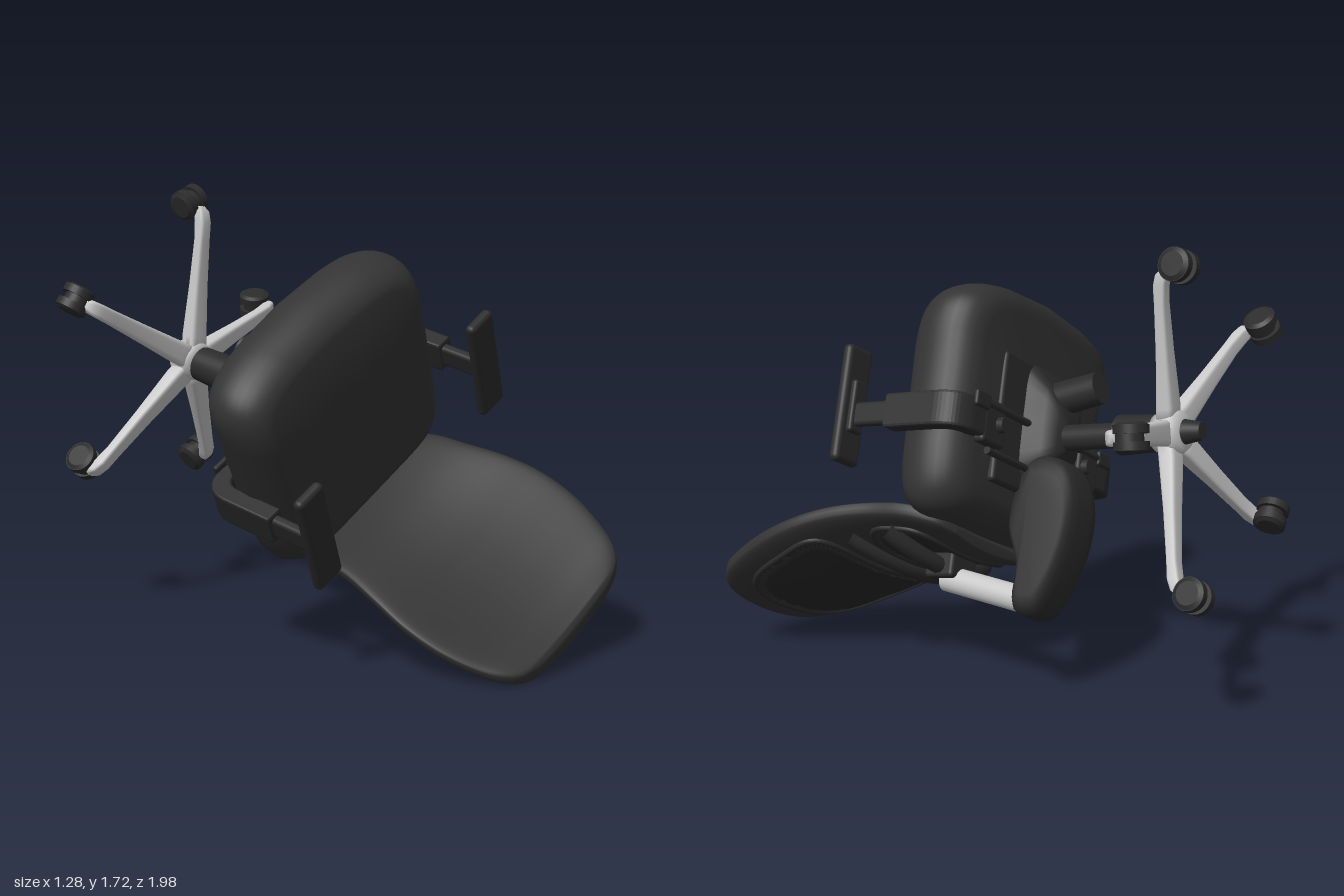
import * as THREE from 'three';
import { RoundedBoxGeometry } from 'three/addons/geometries/RoundedBoxGeometry.js';

const V = (x, y, z) => new THREE.Vector3(x, y, z);
const mat = (name, color, side = THREE.FrontSide) =>
  Object.assign(new THREE.MeshStandardMaterial({ color, side }), { name });

// Signed power, for superellipse outlines
const spow = (v, p) => Math.sign(v) * Math.abs(v) ** p;

// Smooth skin through closed rings of equal length, capped at both ends
function loft(rings) {
  const n = rings[0].length, pos = [], idx = [];
  rings.forEach(r => r.forEach(p => pos.push(p.x, p.y, p.z)));
  for (let i = 0; i < rings.length - 1; i++)
    for (let j = 0; j < n; j++) {
      const a = i * n + j, b = i * n + (j + 1) % n;
      idx.push(a, b, b + n, a, b + n, a + n);
    }
  const last = (rings.length - 1) * n;
  for (let j = 1; j < n - 1; j++) idx.push(0, j + 1, j, last, last + j, last + j + 1);
  // Turn the faces outward when the enclosed volume is negative
  let vol = 0;
  const at = i => V(pos[3 * i], pos[3 * i + 1], pos[3 * i + 2]);
  for (let i = 0; i < idx.length; i += 3) vol += at(idx[i]).dot(at(idx[i + 1]).cross(at(idx[i + 2])));
  if (vol < 0) idx.reverse();
  const g = new THREE.BufferGeometry();
  g.setAttribute('position', new THREE.Float32BufferAttribute(pos, 3));
  g.setIndex(idx);
  g.computeVertexNormals();
  return g;
}

export function createModel() {
  const fabric = mat('fabric', 0x333333);
  const plastic = mat('plastic', 0x2b2b2b);
  const recess = mat('recess', 0x272727, THREE.DoubleSide);
  const silver = mat('silver', 0xc8c8c8);

  // The chair is built upright (y up, z forward, x its left), then tipped over
  const chair = new THREE.Group();
  chair.name = 'chair';
  const add = (name, geo, m, parent = chair) => {
    const mesh = new THREE.Mesh(geo, m);
    mesh.name = name;
    parent.add(mesh);
    return mesh;
  };
  const box = (name, w, h, d, x, y, z, parent = chair, r = 0.015) => {
    const mesh = add(name, new RoundedBoxGeometry(w, h, d, 3, r), plastic, parent);
    mesh.position.set(x, y, z);
  };
  const rod = (name, a, b, ra, rb, m = plastic, parent = chair) => {
    const mesh = add(name, new THREE.CylinderGeometry(rb, ra, a.distanceTo(b), 28), m, parent);
    mesh.position.copy(a).lerp(b, 0.5);
    mesh.quaternion.setFromUnitVectors(V(0, 1, 0), b.clone().sub(a).normalize());
  };

  // Five-arm base with twin-wheel casters, each caster swivelled its own way
  const armSections = [[0.03, 0.05, 0.13, 0.2], [0.1, 0.046, 0.115, 0.185], [0.3, 0.037, 0.095, 0.145],
    [0.48, 0.03, 0.072, 0.115], [0.55, 0.029, 0.055, 0.105], [0.59, 0.027, 0.04, 0.088], [0.607, 0.016, 0.04, 0.065]];
  const armGeo = loft(armSections.map(([r, w, lo, hi]) => Array.from({ length: 24 }, (_, i) => {
    const t = i / 24 * Math.PI * 2;
    return V(w * spow(Math.cos(t), 0.45), (lo + hi) / 2 + (hi - lo) / 2 * spow(Math.sin(t), 0.45), r);
  })));
  for (const [deg, swivel] of [[34, -6], [-34, 24], [109, -178], [-108, 183], [181, 0]]) {
    const spoke = new THREE.Group();
    spoke.name = 'baseSpoke';
    spoke.rotation.y = deg * Math.PI / 180;
    chair.add(spoke);
    add('baseArm', armGeo, silver, spoke);
    const caster = new THREE.Group();
    caster.name = 'caster';
    caster.position.set(0, 0, 0.588);
    caster.rotation.y = swivel * Math.PI / 180;
    spoke.add(caster);
    rod('casterStem', V(0, 0, 0), V(0, 0.06, 0), 0.018, 0.018, plastic, caster);
    rod('casterHood', V(-0.022, 0.006, 0.018), V(0.022, 0.006, 0.018), 0.05, 0.05, plastic, caster);
    for (const s of [-1, 1]) {
      rod('casterWheel', V(s * 0.014, 0, 0.02), V(s * 0.044, 0, 0.02), 0.062, 0.062, plastic, caster);
      rod('wheelCap', V(s * 0.044, 0, 0.02), V(s * 0.053, 0, 0.02), 0.06, 0.044, plastic, caster);
    }
  }
  add('hub', new THREE.LatheGeometry([[0, 0.1], [0.065, 0.1], [0.085, 0.13], [0.08, 0.18], [0.07, 0.215], [0, 0.215]]
    .map(p => new THREE.Vector2(...p)), 32), silver);

  // Gas column
  rod('columnTip', V(0, 0.03, 0), V(0, 0.11, 0), 0.033, 0.048);
  rod('columnSleeve', V(0, 0.2, 0), V(0, 0.37, 0), 0.068, 0.076);
  rod('columnPiston', V(0, 0.36, 0), V(0, 0.66, 0), 0.047, 0.05);

  // Tilt mechanism, tension knob, seat plate and cross bars
  const mech = [[0.6, 0.075, -0.09, 0.1], [0.66, 0.09, -0.13, 0.2], [0.72, 0.13, -0.18, 0.27], [0.79, 0.15, -0.2, 0.3]];
  add('tiltMechanism', loft(mech.map(([u, w, a, b]) => Array.from({ length: 24 }, (_, i) => {
    const t = i / 24 * Math.PI * 2;
    return V(w * spow(Math.cos(t), 0.4), u, (a + b) / 2 + (b - a) / 2 * spow(Math.sin(t), 0.4));
  }))), plastic);
  rod('tensionKnob', V(0, 0.48, 0.19), V(0, 0.68, 0.15), 0.062, 0.066);
  box('seatPlate', 0.56, 0.06, 0.5, 0, 0.755, 0.02);
  rod('crossBar', V(-0.42, 0.71, 0.03), V(0.42, 0.71, 0.03), 0.014, 0.014);
  rod('rearCrossBar', V(-0.36, 0.71, -0.14), V(0.36, 0.71, -0.14), 0.014, 0.014);

  // Rear cover sweeping back under the seat
  const side = [[-0.08, 0.7], [-0.11, 0.56], [-0.22, 0.5], [-0.4, 0.5], [-0.6, 0.565], [-0.69, 0.63],
    [-0.68, 0.71], [-0.52, 0.715], [-0.33, 0.775]].map(p => V(p[0], p[1], 0));
  const sidePts = new THREE.CatmullRomCurve3(side, true).getPoints(48).slice(0, 48);
  const cx = -0.39, cy = 0.62;
  add('rearCover', loft([[-0.108, 0.76], [-0.1, 0.88], [-0.078, 0.96], [-0.04, 0.99], [0.04, 0.99], [0.078, 0.96],
    [0.1, 0.88], [0.108, 0.76]].map(([x, k]) => sidePts.map(p => V(x, cy + (p.y - cy) * k, cx + (p.x - cx) * k)))), plastic);
  rod('backTube', V(0, 0.67, -0.63), V(0, 1.08, -0.535), 0.05, 0.05, silver);

  // Seat cushion: stacked rounded outlines with a bowed, drooping front
  const seatLayers = Array.from({ length: 15 }, (_, i) => {
    const a = (i / 14 - 0.5) * Math.PI, s = Math.sin(a);
    return [0.9 + (s < 0 ? 0.15 : 0.135) * s, 1 - (s < 0 ? 0.24 : 0.2) * (1 - Math.cos(a))];
  });
  seatLayers.unshift([0.735, 0.4], [0.742, 0.6]);
  seatLayers.push([1.037, 0.6], [1.036, 0.35], [1.034, 0.15], [1.034, 0.02]);
  add('seatCushion', loft(seatLayers.map(([u, k]) => Array.from({ length: 96 }, (_, i) => {
    const t = i / 96 * Math.PI * 2, sf = spow(Math.sin(t), 0.28);
    const x = (0.51 + 0.022 * sf) * spow(Math.cos(t), 0.28) * k;
    const z = 0.08 + 0.47 * sf * k - 0.27 * Math.max(0, sf * k) * x * x;
    return V(x, u - 0.05 * Math.max(0, (z - 0.15) / 0.35) ** 2 + 0.01 * Math.max(0, -z / 0.38), z);
  }))), fabric);

  // Backrest shell: rows of (height, half width, depth), hollowed toward the sitter
  const rows = new THREE.CatmullRomCurve3([[0.88, 0.24, -0.39], [0.91, 0.33, -0.38], [1.03, 0.38, -0.365], [1.19, 0.4, -0.365],
    [1.35, 0.435, -0.395], [1.5, 0.46, -0.445], [1.65, 0.455, -0.5], [1.78, 0.42, -0.545], [1.86, 0.38, -0.568],
    [1.905, 0.33, -0.582], [1.928, 0.25, -0.588], [1.935, 0.11, -0.59]].map(p => V(...p)), false, 'centripetal').getPoints(60);
  const half = 0.045;
  const middle = (x, r) => r.z + 0.03 - 0.07 * (1 - (x / 0.46) ** 2);
  const backSurface = (x, u, out) => {
    let i = rows.findIndex(r => r.x >= u);
    i = i < 1 ? rows.length - 1 : i;
    const r = rows[i - 1].clone().lerp(rows[i], (u - rows[i - 1].x) / (rows[i].x - rows[i - 1].x));
    return V(x, u, middle(x, r) - half * Math.max(0, 1 - (x / r.y) ** 2) ** 0.22 - out);
  };
  add('backrest', loft(rows.map((r, k) => Array.from({ length: 64 }, (_, i) => {
    const t = i / 64 * Math.PI * 2, x = r.y * spow(Math.cos(t), 0.8);
    const thick = half * Math.min(1, 0.35 + Math.min(k, rows.length - 1 - k) * 0.08);
    return V(x, r.x, middle(x, r) + thick * spow(Math.sin(t), 0.44));
  }))), fabric);

  // Rear panels with raised rims
  const panel = (name, u0, h, w, taper) => {
    const ring = (k, out) => Array.from({ length: 56 }, (_, i) => {
      const t = i / 56 * Math.PI * 2, s = spow(Math.sin(t), 0.5);
      return backSurface((w - taper * s) * spow(Math.cos(t), 0.5) * k, u0 + h * s * k, out);
    });
    add(name, loft([1, 0.85, 0.65, 0.4, 0.2, 0.02].map(k => ring(k, 0.006))), recess);
    const rim = new THREE.CatmullRomCurve3(ring(1, 0.002), true);
    add(name + 'Rim', new THREE.TubeGeometry(rim, 112, 0.012, 8, true), plastic);
  };
  panel('upperBackPanel', 1.615, 0.22, 0.36, 0.045);
  panel('lowerBackPanel', 1.13, 0.14, 0.31, -0.02);

  // Curved lumbar ribs standing off the shell
  for (const [u, sag, r] of [[1.32, 0.08, 0.026], [1.15, 0.08, 0.034]]) {
    const pts = Array.from({ length: 13 }, (_, i) => {
      const s = i / 6 - 1;
      return backSurface(0.33 * s, u - sag * (1 - s * s), 0.02 + 0.035 * (1 - s * s));
    });
    add('lumbarRib', new THREE.TubeGeometry(new THREE.CatmullRomCurve3(pts), 40, r, 10), plastic);
  }
  box('tubeSocket', 0.16, 0.13, 0.1, 0, 1.07, -0.495);

  // Armrests, mirrored
  const bend = new THREE.Shape();
  bend.moveTo(0.3, 0.715);
  bend.lineTo(0.46, 0.715);
  bend.quadraticCurveTo(0.555, 0.72, 0.56, 0.82);
  bend.lineTo(0.56, 1.03);
  bend.lineTo(0.505, 1.03);
  bend.lineTo(0.505, 0.83);
  bend.quadraticCurveTo(0.5, 0.77, 0.44, 0.765);
  bend.lineTo(0.3, 0.765);
  const bracketGeo = new THREE.ExtrudeGeometry(bend, { depth: 0.11, bevelSize: 0.008, bevelThickness: 0.01, bevelSegments: 2, curveSegments: 12 });
  for (const s of [1, -1]) {
    const arm = new THREE.Group();
    arm.name = s > 0 ? 'leftArmrest' : 'rightArmrest';
    arm.rotation.y = s > 0 ? 0 : Math.PI;
    chair.add(arm);
    const bracket = add('armBracket', bracketGeo, plastic, arm);
    bracket.position.z = s * -0.03 - 0.055;
    box('armPost', 0.042, 0.26, 0.09, 0.53, 1.1, s * -0.03, arm);
    box('padMount', 0.075, 0.03, 0.2, 0.527, 1.203, 0, arm, 0.012);
    box('armPad', 0.138, 0.044, 0.45, 0.524, 1.234, s * 0.01, arm, 0.02);
    box('armMount', 0.14, 0.05, 0.17, 0.33, 0.73, s * -0.03, arm);
    box('lever', 0.09, 0.022, 0.06, 0.43, 0.705, s * 0.03, arm, 0.01);
    rod('mountKnob', V(0.3, 0.68, s * -0.03), V(0.3, 0.73, s * -0.03), 0.028, 0.032, plastic, arm);
  }

  // Tip the chair onto the top of its backrest
  const up = V(0, -0.2, 0.98).normalize();
  const fwd = V(-0.5, 0.866, 0.177).projectOnPlane(up).normalize();
  chair.quaternion.setFromRotationMatrix(new THREE.Matrix4().makeBasis(up.clone().cross(fwd), up, fwd));
  chair.position.set(0.008, 1.045, -0.812);
  const model = new THREE.Group();
  model.name = 'officeChair';
  model.add(chair);
  return model;
}
